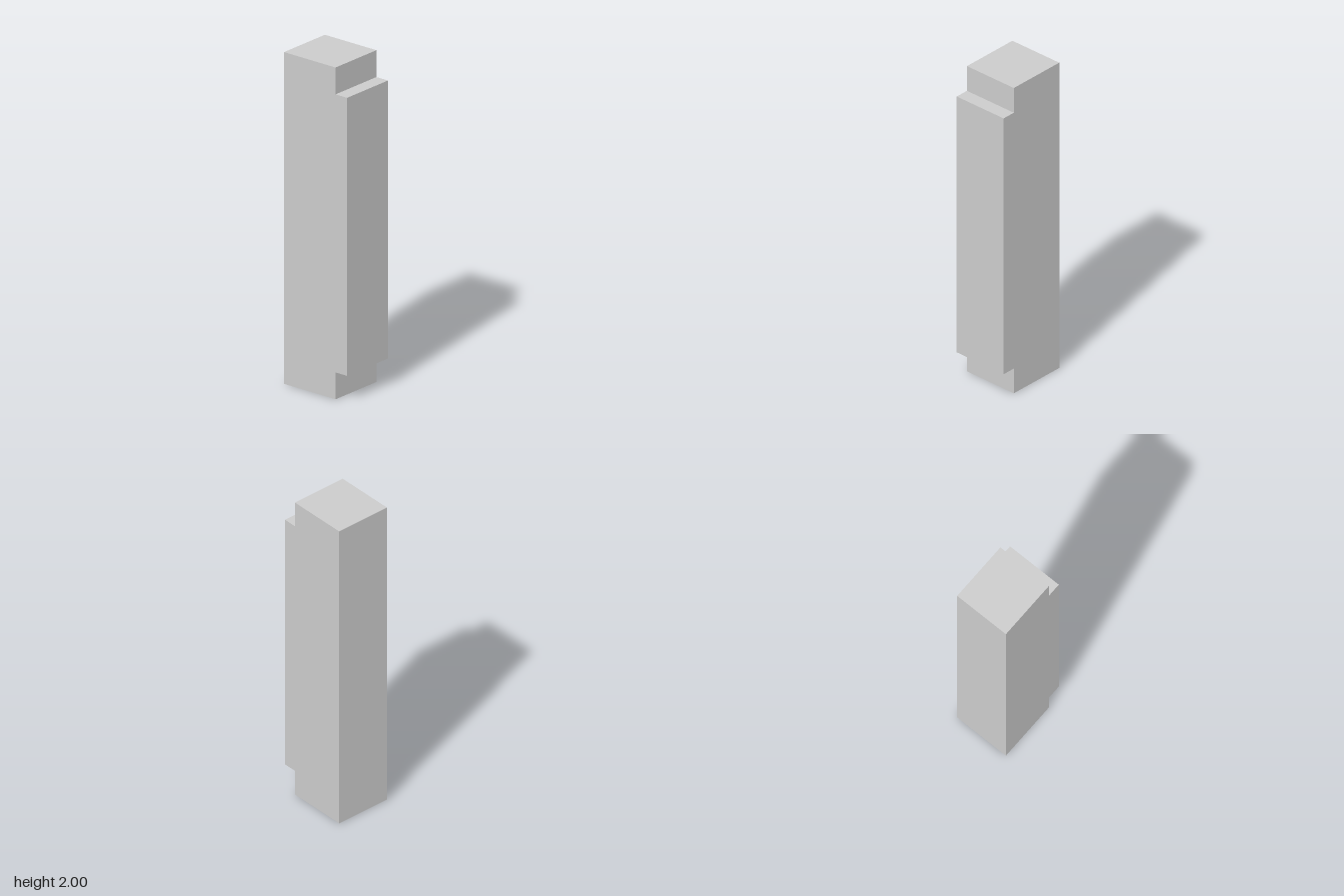
import * as THREE from 'three';

const WIDTH = 0.358, HEIGHT = 2;
const FRONT = 0.232, BACK = -0.232, REBATE = 0.147; // depths along z
const NOTCH = 0.162; // height of the notch at each end

export function createModel() {
  const model = new THREE.Group();
  const material = new THREE.MeshStandardMaterial({ color: 0xcccccc, flatShading: true });

  // Side profile of the post, notched at the front of both ends (z, y)
  const profile = new THREE.Shape([
    [BACK, 0], [REBATE, 0], [REBATE, NOTCH], [FRONT, NOTCH],
    [FRONT, HEIGHT - NOTCH], [REBATE, HEIGHT - NOTCH], [REBATE, HEIGHT], [BACK, HEIGHT],
  ].map(([z, y]) => new THREE.Vector2(z, y)));

  // Extrude across the width, turned so the profile faces sideways
  const geometry = new THREE.ExtrudeGeometry(profile, { depth: WIDTH, bevelEnabled: false });
  geometry.translate(0, 0, -WIDTH / 2).rotateY(-Math.PI / 2);

  const post = new THREE.Mesh(geometry, material);
  post.name = 'notchedPost';
  model.add(post);
  return model;
}
